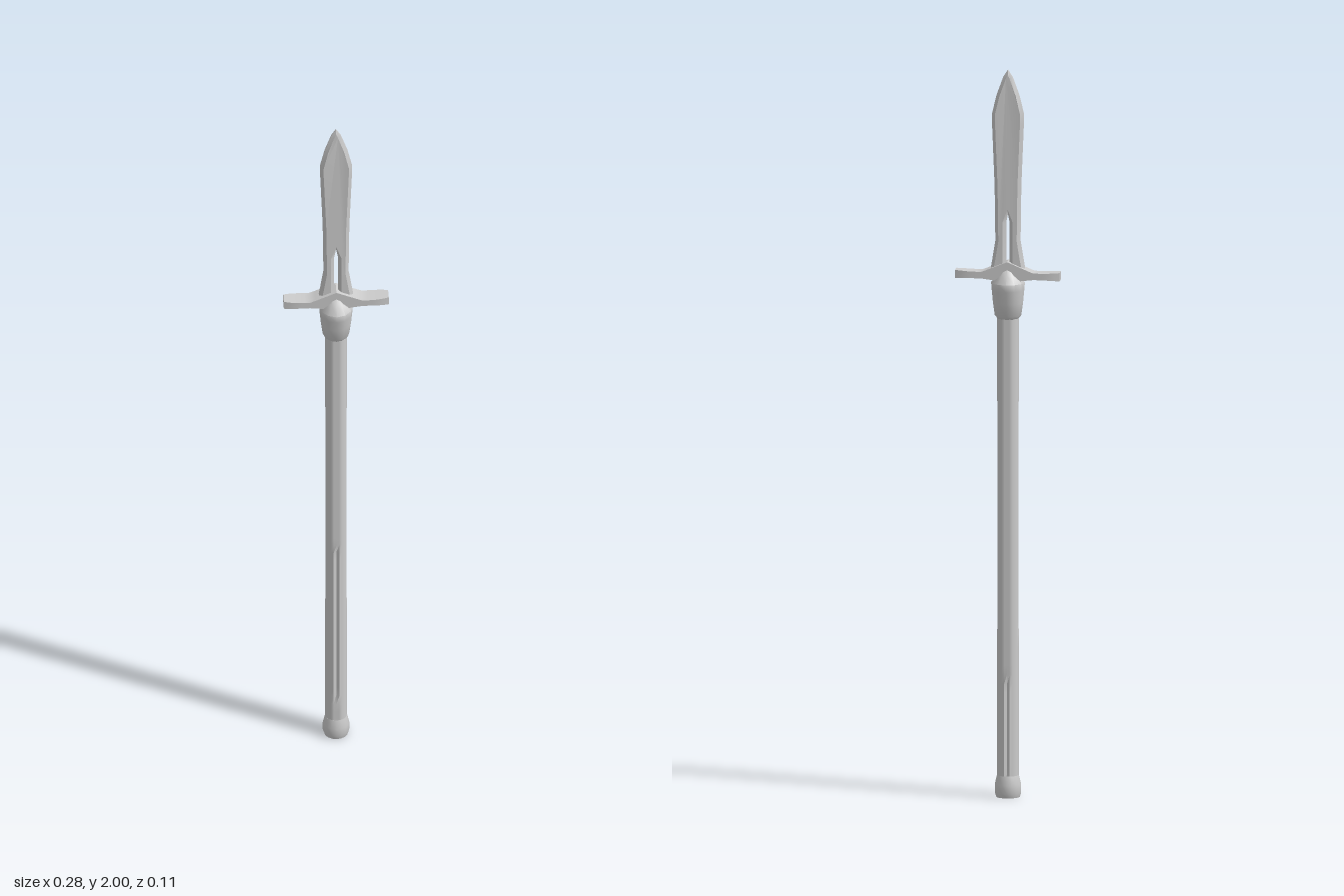
import * as THREE from 'three';
import { toCreasedNormals } from 'three/addons/utils/BufferGeometryUtils.js';

const material = new THREE.MeshStandardMaterial({ color: 0xcccccc });

// Move every vertex by a rule, then rebuild the normals
function reshape(geometry, rule, crease = 0.7) {
  const pos = geometry.attributes.position;
  const v = new THREE.Vector3();
  for (let i = 0; i < pos.count; i++) {
    v.fromBufferAttribute(pos, i);
    rule(v);
    pos.setXYZ(i, v.x, v.y, v.z);
  }
  return toCreasedNormals(geometry, crease);
}

function part(name, geometry) {
  const mesh = new THREE.Mesh(geometry, material);
  mesh.name = name;
  return mesh;
}

function lathe(points, sides) {
  return new THREE.LatheGeometry(points.map(([r, y]) => new THREE.Vector2(r, y)), sides);
}

// Leaf-shaped blade with bevelled edges and a slot above the guard
function bladeGeometry() {
  const side = [[0.05, 1.435], [0.043, 1.475], [0.034, 1.53], [0.036, 1.68],
    [0.043, 1.85], [0.043, 1.88], [0.031, 1.93], [0.013, 1.98]];
  const outline = [...side, [0, 2], ...side.map(([x, y]) => [-x, y]).reverse()];
  const shape = new THREE.Shape(outline.map(([x, y]) => new THREE.Vector2(x, y)));
  const slot = [[-0.005, 1.46], [-0.005, 1.58], [0, 1.605], [0.005, 1.58], [0.005, 1.46]];
  shape.holes.push(new THREE.Path(slot.map(([x, y]) => new THREE.Vector2(x, y))));
  const bevel = 0.009;
  const geometry = new THREE.ExtrudeGeometry(shape, {
    depth: 0.009, bevelThickness: bevel, bevelSize: bevel, bevelOffset: -bevel, bevelSegments: 1,
  });
  geometry.translate(0, 0, -0.0045);
  return reshape(geometry, (v) => {
    if (v.y > 1.9) v.z *= 1 - 0.6 * (v.y - 1.9) / 0.1;
  }, 0.4);
}

// Shaft with narrow lengthwise grooves: [direction x, direction z, from y, to y]
function shaftGeometry() {
  const grooves = [[0, 1, 0.12, 0.62], [1, 0, 0.46, 1.08], [-1, 0, 0.46, 1.08], [0, -1, 0.06, 0.32]];
  const geometry = new THREE.CylinderGeometry(0.0295, 0.0295, 1.3, 24, 52, true);
  geometry.translate(0, 0.69, 0);
  return reshape(geometry, (v) => {
    for (const [dx, dz, low, high] of grooves) {
      const inLine = (v.x * dx + v.z * dz) / 0.0295 > 0.99;
      if (inLine && v.y > low && v.y < high) {
        v.x *= 0.75;
        v.z *= 0.75;
      }
    }
  });
}

// Cross guard, thin at the arms and swelling into the collar
function guardGeometry() {
  const geometry = new THREE.BoxGeometry(0.285, 0.018, 0.038, 20, 2, 4);
  return reshape(geometry, (v) => {
    const swell = Math.max(0, 1 - Math.abs(v.x) / 0.07);
    const end = Math.max(0, (Math.abs(v.x) - 0.1) / 0.04);
    v.y *= 1 + 0.25 * end + swell;
    if (v.y > 0) v.y += 0.02 * swell;
    v.z *= 1.25 - 0.3 * end * end;
    v.y += 1.436 + 0.015 * v.x;
  });
}

export function createModel() {
  const group = new THREE.Group();

  group.add(part('shaft', shaftGeometry()));

  // Flared foot closing the lower end
  group.add(part('foot', toCreasedNormals(lathe(
    [[0, 0], [0.032, 0], [0.036, 0.012], [0.036, 0.035], [0.03, 0.06], [0.028, 0.06]], 16), 0.7)));

  // Collar, bulging to front and back
  const collar = lathe([[0.029, 1.315], [0.037, 1.325], [0.042, 1.36], [0.053, 1.395],
    [0.055, 1.415], [0.033, 1.437], [0.02, 1.458], [0.014, 1.465]], 12);
  group.add(part('collar', reshape(collar, (v) => {
    v.x *= v.y < 1.37 ? 0.98 : 0.84;
  }, 0.9)));

  group.add(part('crossGuard', guardGeometry()));
  group.add(part('blade', bladeGeometry()));
  return group;
}
